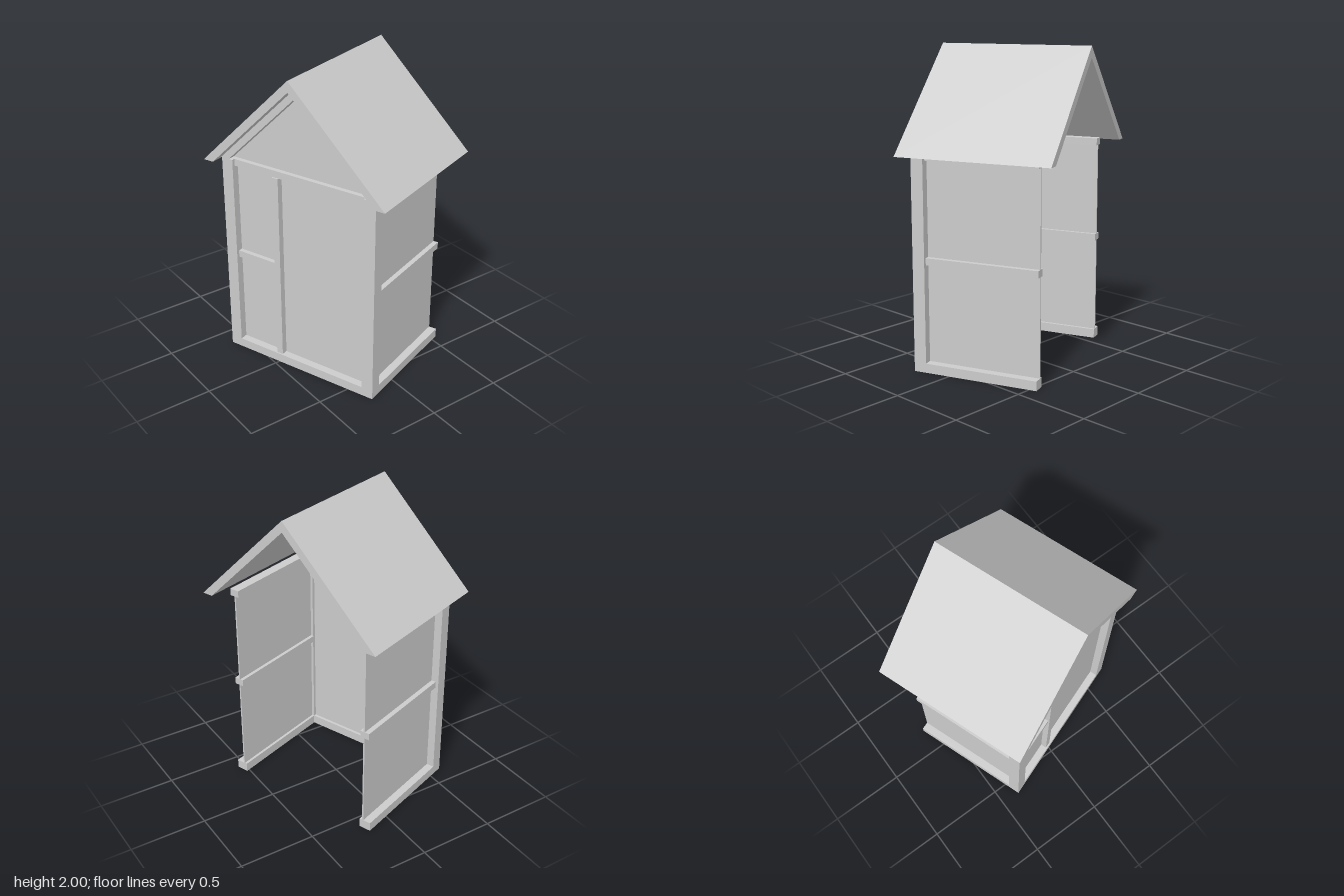
import * as THREE from 'three';

const material = new THREE.MeshStandardMaterial({ color: 0xcccccc, flatShading: true });

// Box given by its extents on each axis
function box(name, [x0, x1], [y0, y1], [z0, z1]) {
  const mesh = new THREE.Mesh(new THREE.BoxGeometry(x1 - x0, y1 - y0, z1 - z0), material);
  mesh.position.set((x0 + x1) / 2, (y0 + y1) / 2, (z0 + z1) / 2);
  mesh.name = name;
  return mesh;
}

// Profile in the z-y plane, extruded along x
function gablePart(name, points, [x0, x1]) {
  const shape = new THREE.Shape(points.map(([z, y]) => new THREE.Vector2(z, y)));
  const geometry = new THREE.ExtrudeGeometry(shape, { depth: x1 - x0, bevelEnabled: false });
  geometry.rotateY(Math.PI / 2);
  geometry.translate(x0, 0, 0);
  const mesh = new THREE.Mesh(geometry, material);
  mesh.name = name;
  return mesh;
}

// Inverted V between two parallel slopes, cut level at the base
function chevron(name, base, outerTop, innerTop, span) {
  const slope = 0.64 / 0.65;
  const outer = (outerTop - base) / slope, inner = (innerTop - base) / slope;
  return gablePart(name, [[-outer, base], [-inner, base], [0, innerTop],
    [inner, base], [outer, base], [0, outerTop]], span);
}

export function createModel() {
  const house = new THREE.Group();
  house.name = 'shelter';

  const end = -0.44, open = 0.38, side = 0.555, post = 0.08, top = 1.375;
  const postX = [end, end + post];
  const railHeights = { middleRail: [0.685, 0.73], topRail: [1.33, top] };

  // Roof
  house.add(chevron('roof', 1.36, 2, 1.93, [-0.5, 0.5]));

  // Long walls, one on each side
  for (const s of [1, -1]) {
    const wall = new THREE.Group();
    wall.name = s > 0 ? 'frontWall' : 'backWall';
    const across = (a, b) => (s > 0 ? [a, b] : [-b, -a]);
    wall.add(box('cornerPost', postX, [0, top], across(side - post, side)));
    wall.add(box('sill', [end + post, open], [0, 0.06], across(side - post, side)));
    wall.add(box('wallPanel', [end + post, open], [0.06, top], across(0.493, 0.503)));
    for (const [name, y] of Object.entries(railHeights)) {
      wall.add(box(name, [end + post, open], y, across(0.47, 0.535)));
    }
    house.add(wall);
  }

  // Closed end wall with a door beside a narrow panel
  const endWall = new THREE.Group();
  endWall.name = 'endWall';
  const inner = side - post, railX = [-0.42, -0.36];
  endWall.add(box('sill', postX, [0, 0.06], [-inner, inner]));
  endWall.add(box('header', railX, railHeights.topRail, [-inner, inner]));
  endWall.add(box('doorPost', [-0.43, -0.37], [0.06, 1.33], [-0.185, -0.14]));
  endWall.add(box('middleRail', railX, railHeights.middleRail, [-inner, -0.185]));
  endWall.add(box('sidePanel', [-0.39, -0.38], [0.06, 1.33], [-inner, -0.185]));
  endWall.add(box('door', [-0.39, -0.38], [0.06, 1.33], [-0.14, inner]));

  // Gable: rafters under the roof with an infill panel
  endWall.add(chevron('rafters', top, 1.928, 1.87, postX));
  endWall.add(gablePart('gablePanel', [[-0.503, top], [0.503, top], [0, 1.87]], [-0.39, -0.38]));
  house.add(endWall);

  house.rotation.y = THREE.MathUtils.degToRad(20);
  const model = new THREE.Group();
  model.add(house);
  return model;
}
